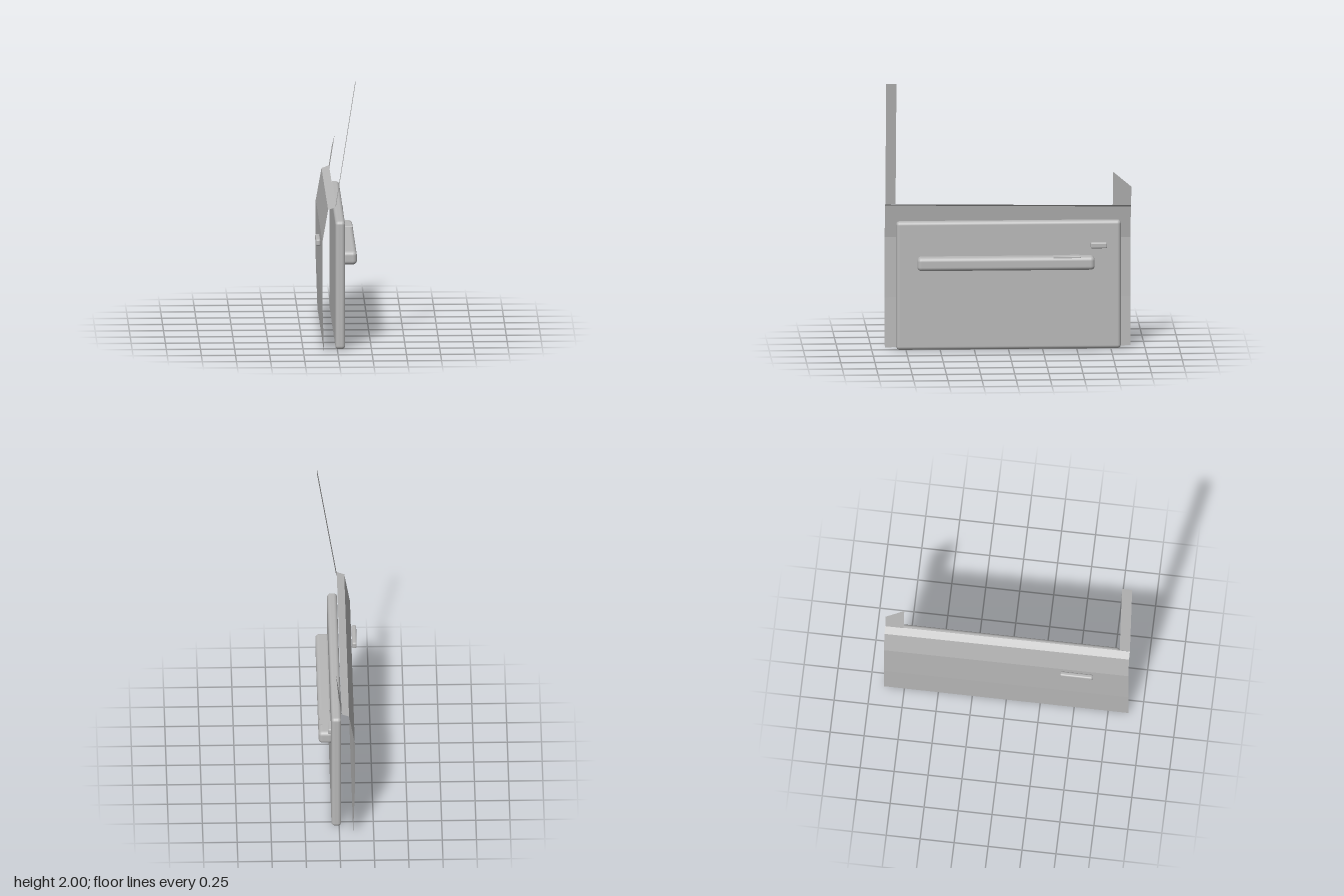
import * as THREE from 'three';
import { RoundedBoxGeometry } from 'three/addons/geometries/RoundedBoxGeometry.js';

const grey = new THREE.MeshStandardMaterial({ color: 0xb8b8b8, side: THREE.DoubleSide });
grey.name = 'plain grey';

// Flat quads, each given as four [x, y, z] corners in order
function sheet(name, quads) {
  const points = quads.flatMap(([a, b, c, d]) => [a, b, c, a, c, d]).flat();
  const geometry = new THREE.BufferGeometry();
  geometry.setAttribute('position', new THREE.Float32BufferAttribute(points, 3));
  geometry.computeVertexNormals();
  const mesh = new THREE.Mesh(geometry, grey);
  mesh.name = name;
  return mesh;
}

// Rounded block given by its extents on each axis
function block(name, [x0, x1], [y0, y1], [z0, z1], radius) {
  const mesh = new THREE.Mesh(new RoundedBoxGeometry(x1 - x0, y1 - y0, z1 - z0, 4, radius), grey);
  mesh.position.set((x0 + x1) / 2, (y0 + y1) / 2, (z0 + z1) / 2);
  mesh.name = name;
  return mesh;
}

export function createModel() {
  const door = new THREE.Group();
  door.name = 'door';

  // Outer skin and sill: a bent section, slightly lower at the -z end
  const profile = [[-0.1, 0], [-0.112, 0.37], [-0.112, 0.82], [-0.07, 1.06], [-0.015, 1.08]];
  const front = profile.map(([x, y]) => [x, y, 0.9]);
  const back = profile.map(([x, y]) => [x, y * 0.979, -0.9]);
  const strips = front.slice(1).map((p, i) => [front[i], p, back[i + 1], back[i]]);
  door.add(sheet('outerSkin', strips.slice(0, 3)));
  door.add(sheet('windowSill', strips.slice(3)));

  // Upright window frame pieces share one outward-leaning plane
  const lean = (y, z) => [-0.015 + (y - 1.07) * 0.156, y, z];
  door.add(sheet('tallPillar', [[lean(1.08, 0.9), lean(1.08, 0.825), lean(2, 0.825), lean(2, 0.9)]]));
  door.add(sheet('cornerPane', [[lean(1.058, -0.765), lean(1.057, -0.9), lean(1.2, -0.9), lean(1.315, -0.765)]]));

  // Inner trim
  door.add(block('innerPanel', [-0.015, 0.057], [0.005, 0.958], [-0.822, 0.822], 0.026));
  door.add(block('armrest', [0.04, 0.147], [0.605, 0.705], [-0.627, 0.67], 0.03));
  door.add(block('switchPlate', [0.06, 0.139], [0.69, 0.707], [-0.52, -0.325], 0.002));
  door.add(block('innerHandle', [0.045, 0.08], [0.755, 0.798], [-0.72, -0.6], 0.01));

  // Outer pull handle
  door.add(block('outerHandle', [-0.152, -0.118], [0.742, 0.792], [0.4, 0.64], 0.012));
  return door;
}
